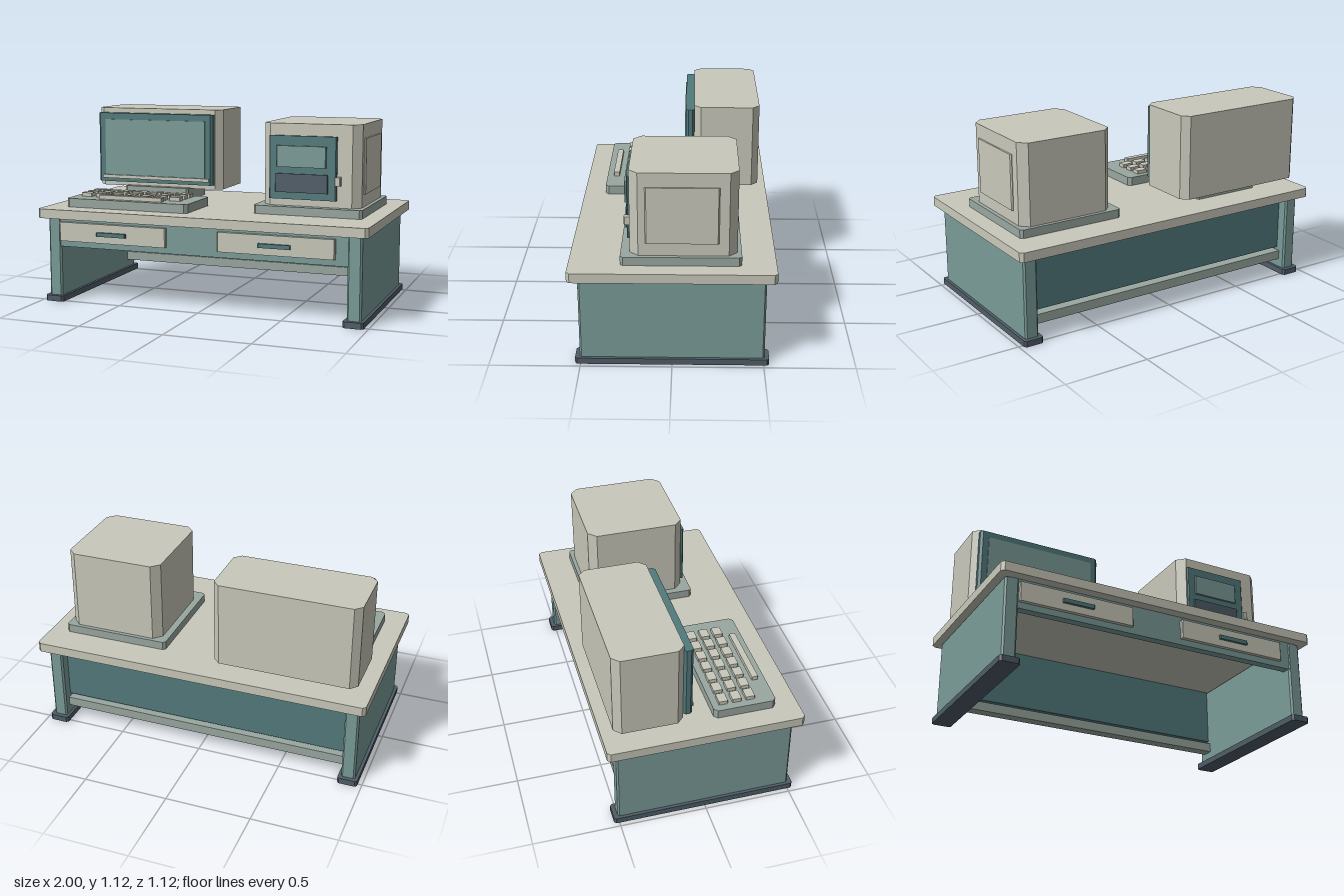
import * as THREE from 'three';

function makeMaterial(name, color) {
  const m = new THREE.MeshStandardMaterial({ color });
  m.name = name;
  return m;
}

// Upright prism with its four vertical edges cut off by c
function prism(w, h, d, c) {
  if (!c) return new THREE.BoxGeometry(w, h, d);
  const x = w / 2, z = d / 2;
  const outline = new THREE.Shape([
    [x - c, -z], [x, -z + c], [x, z - c], [x - c, z],
    [-x + c, z], [-x, z - c], [-x, -z + c], [-x + c, -z],
  ].map(([a, b]) => new THREE.Vector2(a, b)));
  return new THREE.ExtrudeGeometry(outline, { depth: h, bevelEnabled: false })
    .translate(0, 0, -h / 2)
    .rotateX(-Math.PI / 2);
}

export function createModel() {
  const cream = makeMaterial('cream', 0xc8c8bb);
  const teal = makeMaterial('teal', 0x7a9c98);
  const deepTeal = makeMaterial('deepTeal', 0x527a7c);
  const slate = makeMaterial('slate', 0x4f5d67);
  const grey = makeMaterial('greyGreen', 0x9aa7a0);

  const model = new THREE.Group();
  model.name = 'computerDesk';
  const group = (name) => {
    const g = new THREE.Group();
    g.name = name;
    model.add(g);
    return g;
  };
  // Place a part by its limits on each axis
  const part = (parent, name, mat, [x0, x1], [y0, y1], [z0, z1], cut = 0) => {
    const mesh = new THREE.Mesh(prism(x1 - x0, y1 - y0, z1 - z0, cut), mat);
    mesh.position.set((x0 + x1) / 2, (y0 + y1) / 2, (z0 + z1) / 2);
    mesh.name = name;
    parent.add(mesh);
  };

  // Desk frame
  const desk = group('desk');
  part(desk, 'deskTop', cream, [-1, 1], [0.506, 0.561], [-0.56, 0.56], 0.018);
  for (const s of [-1, 1]) {
    const span = (a, b) => (s > 0 ? [a, b] : [-b, -a]);
    const side = s > 0 ? 'left' : 'right';
    part(desk, side + 'Leg', teal, span(0.875, 0.957), [0.035, 0.5], [-0.505, 0.505], 0.01);
    part(desk, side + 'Foot', slate, span(0.858, 0.975), [0, 0.035], [-0.53, 0.53], 0.012);
  }
  part(desk, 'frontApron', teal, [-0.935, 0.935], [0.333, 0.506], [0.45, 0.5]);
  part(desk, 'backPanel', deepTeal, [-0.885, 0.885], [0.16, 0.506], [-0.44, -0.41]);
  part(desk, 'footRail', grey, [-0.885, 0.885], [0.085, 0.14], [-0.46, -0.39]);

  // Drawers with pulls
  for (const x of [-0.533, 0.467]) {
    const drawer = group('drawer');
    part(drawer, 'drawerFront', cream, [x - 0.342, x + 0.342], [0.37, 0.483], [0.495, 0.523], 0.005);
    part(drawer, 'drawerHandle', deepTeal, [x - 0.094, x + 0.094], [0.412, 0.436], [0.52, 0.538], 0.004);
  }

  // Monitor
  const monitor = group('monitor');
  part(monitor, 'monitorStand', grey, [-0.725, -0.295], [0.561, 0.635], [-0.37, -0.07], 0.012);
  part(monitor, 'monitorCase', cream, [-0.93, -0.09], [0.63, 1.125], [-0.503, -0.113], 0.04);
  part(monitor, 'monitorBezel', deepTeal, [-0.905, -0.13], [0.66, 1.095], [-0.116, -0.063], 0.014);
  part(monitor, 'monitorScreen', teal, [-0.855, -0.178], [0.705, 1.055], [-0.064, -0.057]);
  part(monitor, 'monitorTrim', cream, [-0.873, -0.15], [0.682, 0.703], [-0.064, -0.05]);

  // Keyboard
  const keyboard = group('keyboard');
  part(keyboard, 'keyboardBase', grey, [-0.876, -0.096], [0.561, 0.613], [0.072, 0.43], 0.02);
  for (const z of [0.136, 0.215, 0.293]) {
    for (let i = 0; i < 7; i++) {
      const x = -0.797 + i * 0.0963;
      part(keyboard, 'key', cream, [x - 0.035, x + 0.035], [0.61, 0.635], [z - 0.026, z + 0.026], 0.003);
    }
  }
  part(keyboard, 'spaceKey', cream, [-0.68, -0.27], [0.61, 0.637], [0.354, 0.39], 0.003);

  // Computer case
  const computer = group('computer');
  part(computer, 'computerBase', grey, [0.256, 0.897], [0.561, 0.61], [-0.373, 0.28], 0.015);
  part(computer, 'computerCase', cream, [0.297, 0.873], [0.61, 1.082], [-0.35, 0.23], 0.047);
  part(computer, 'sidePanel', cream, [0.862, 0.883], [0.683, 1.002], [-0.25, 0.145], 0.007);
  part(computer, 'frontPlate', deepTeal, [0.342, 0.74], [0.65, 1.013], [0.225, 0.249], 0.006);
  part(computer, 'displayWindow', teal, [0.39, 0.682], [0.835, 0.957], [0.245, 0.263], 0.004);
  part(computer, 'diskSlot', slate, [0.382, 0.692], [0.69, 0.797], [0.245, 0.258], 0.003);
  part(computer, 'latch', cream, [0.733, 0.766], [0.738, 0.787], [0.23, 0.263], 0.004);

  return model;
}
